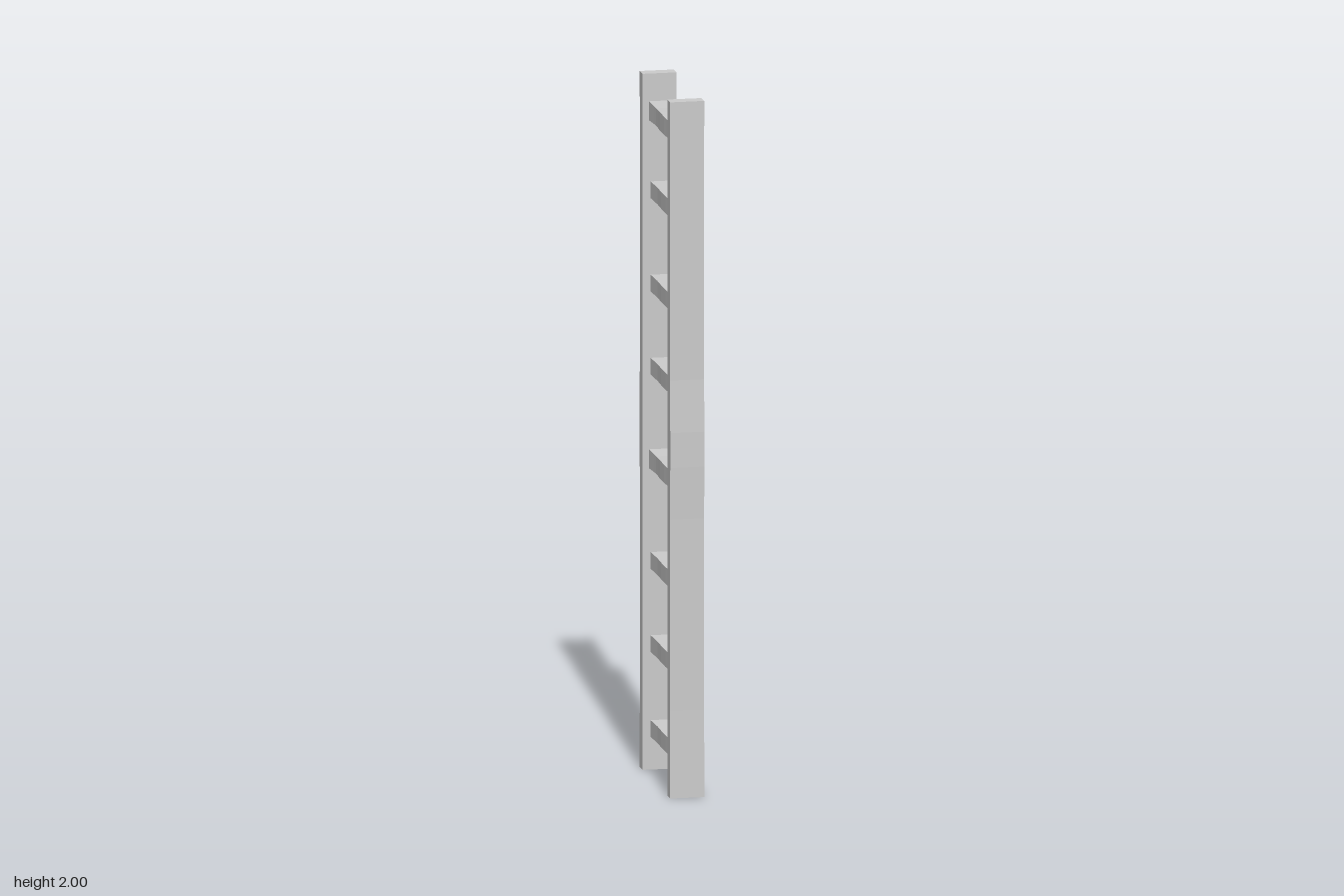
import * as THREE from 'three';

const material = new THREE.MeshStandardMaterial({ color: 0xcccccc, flatShading: true });

// Piecewise-linear lookup through [position, value] pairs
function lerpAlong(points, t) {
  for (let i = 1; i < points.length; i++) {
    const [a, va] = points[i - 1], [b, vb] = points[i];
    if (t <= b) return va + (vb - va) * Math.max(0, (t - a) / (b - a));
  }
  return points[points.length - 1][1];
}

// Move every vertex of a geometry by a rule
function reshape(geometry, rule) {
  const p = geometry.attributes.position, v = new THREE.Vector3();
  for (let i = 0; i < p.count; i++) {
    v.fromBufferAttribute(p, i);
    rule(v);
    p.setXYZ(i, v.x, v.y, v.z);
  }
  geometry.computeVertexNormals();
  return geometry;
}

// Upright plank with a flat inner face and a slightly worn outer face
const WEAR = [[0, 0.212], [0.25, 0.209], [0.8, 0.208], [0.95, 0.213], [1.05, 0.213], [1.2, 0.208], [1.75, 0.208], [2, 0.211]];
function makeRail(side) {
  const geometry = reshape(new THREE.BoxGeometry(0.098, 2, 0.04, 1, 40, 1), (v) => {
    v.y += 1;
    v.z = side * (v.z * side > 0 ? lerpAlong(WEAR, v.y) : 0.172);
  });
  return new THREE.Mesh(geometry, material);
}

// Square rung, waisted either side of its middle
const WAIST = [[0, 0.96], [0.03, 0.96], [0.08, 0.9], [0.13, 0.95], [0.174, 1]];
function makeRung(width, height, worn) {
  const geometry = reshape(new THREE.BoxGeometry(width, height, 0.348, 1, 1, 12), (v) => {
    const s = lerpAlong(WAIST, Math.abs(v.z));
    v.x *= s;
    if (worn) v.y *= s;
  });
  return new THREE.Mesh(geometry, material);
}

export function createModel() {
  const model = new THREE.Group();
  model.name = 'ladder';

  // Two side rails
  for (const side of [1, -1]) {
    const rail = makeRail(side);
    rail.name = side > 0 ? 'frontRail' : 'backRail';
    model.add(rail);
  }

  // Eight unevenly spaced rungs; two are thicker and worn
  [0.118, 0.362, 0.601, 0.893, 1.159, 1.398, 1.666, 1.893].forEach((y, i) => {
    const thick = i === 3 || i === 7;
    const rung = makeRung(thick ? 0.06 : 0.052, thick ? 0.055 : 0.048, thick);
    rung.position.y = y;
    rung.name = `rung${i + 1}`;
    model.add(rung);
  });
  return model;
}
